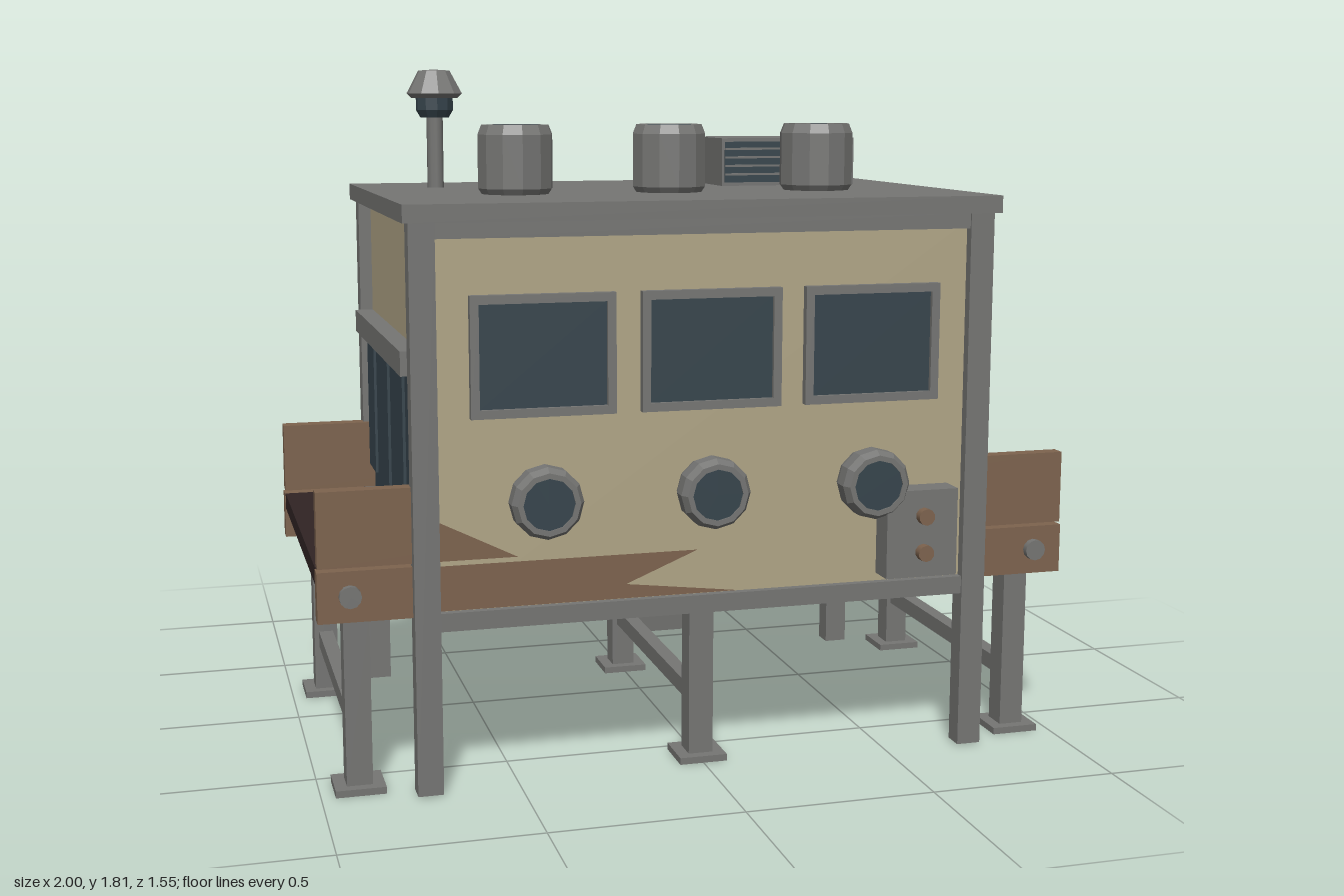
import * as THREE from 'three';

const mat = (name, color, side = THREE.FrontSide) => {
  const m = new THREE.MeshStandardMaterial({ color, side });
  m.name = name;
  return m;
};

export function createModel() {
  const steel = mat('steel grey', 0x757573);
  const tan = mat('tan panel', 0xb0a586);
  const wood = mat('brown rail', 0x7d634e);
  const rubber = mat('dark belt', 0x302424);
  const glass = mat('blue glass', 0x36444c);
  const model = new THREE.Group();

  const add = (name, geo, m, x = 0, y = 0, z = 0, parent = model) => {
    const mesh = new THREE.Mesh(geo, m);
    mesh.name = name;
    mesh.position.set(x, y, z);
    parent.add(mesh);
    return mesh;
  };
  // box given by its limits on each axis
  const box = (name, m, x0, x1, y0, y1, z0, z1, parent = model) =>
    add(name, new THREE.BoxGeometry(x1 - x0, y1 - y0, z1 - z0), m,
      (x0 + x1) / 2, (y0 + y1) / 2, (z0 + z1) / 2, parent);
  // faceted turned part
  const lathe = (name, m, pts, sides, x, y, z, parent = model) => {
    const g = new THREE.LatheGeometry(pts.map(p => new THREE.Vector2(...p)), sides).toNonIndexed();
    g.computeVertexNormals();
    return add(name, g, m, x, y, z, parent);
  };
  const disc = (name, m, r, h, sides, x, y, z, parent = model) =>
    add(name, new THREE.CylinderGeometry(r, r, h, sides), m, x, y, z, parent);
  // upright rectangular frame with a hole
  const frameGeo = (w, h, t, d) => {
    const s = new THREE.Shape();
    s.moveTo(-w / 2, -h / 2).lineTo(w / 2, -h / 2).lineTo(w / 2, h / 2).lineTo(-w / 2, h / 2).closePath();
    const a = w / 2 - t, b = h / 2 - t, hole = new THREE.Path();
    hole.moveTo(-a, -b).lineTo(-a, b).lineTo(a, b).lineTo(a, -b).closePath();
    s.holes.push(hole);
    return new THREE.ExtrudeGeometry(s, { depth: d, bevelEnabled: false });
  };

  // enclosure, roof and corner posts
  box('enclosure', tan, -0.73, 0.73, 0.43, 1.44, -0.315, 0.679);
  box('roof', steel, -0.78, 0.78, 1.44, 1.485, -0.37, 0.72);
  for (const s of [-1, 1]) {
    const [x0, x1] = s > 0 ? [0.70, 0.765] : [-0.765, -0.70];
    box('frontPost', steel, x0, x1, 0.005, 1.44, 0.65, 0.705);
    box('backPost', steel, x0, x1, 0.005, 1.44, -0.35, -0.29);
  }
  for (const [z0, z1] of [[0.655, 0.70], [-0.34, -0.295]]) {
    box('topBeam', steel, -0.70, 0.70, 1.40, 1.44, z0, z1);
    box('bottomBeam', steel, -0.70, 0.70, 0.425, 0.472, z0, z1);
  }

  // long conveyor rails: two boards each side
  for (const [z0, z1] of [[0.63, 0.676], [-0.326, -0.275]]) {
    box('lowerRail', wood, -1, 1, 0.46, 0.59, z0, z1);
    box('upperRail', wood, -0.998, 0.998, 0.598, 0.79, z0 + 0.004, z1 - 0.002);
  }
  // rail areas showing through the front panel
  for (const pts of [
    [[-0.7, 0.6], [-0.5, 0.6], [-0.7, 0.7]],
    [[-0.7, 0.473], [0.08, 0.473], [-0.22, 0.51], [-0.03, 0.588], [-0.7, 0.588]],
  ]) add('exposedRail', new THREE.ShapeGeometry(new THREE.Shape(pts.map(p => new THREE.Vector2(...p)))), wood, 0, 0, 0.681);

  // belt and its end parts
  for (const s of [-1, 1]) {
    const end = new THREE.Group();
    end.name = 'conveyorEnd';
    if (s < 0) {
      end.rotation.y = Math.PI;
      end.position.z = 0.35;
    }
    model.add(end);
    box('belt', rubber, 0.72, 0.998, 0.545, 0.59, -0.28, 0.63, end);
    box('beltCleat', rubber, 0.86, 0.895, 0.585, 0.602, -0.25, 0.60, end);
    box('endBeam', steel, 0.86, 0.97, 0.505, 0.545, -0.27, 0.62, end);
    box('lowerEndBeam', steel, 0.88, 0.95, 0.465, 0.505, -0.27, 0.62, end);
    for (const z of [0.682, -0.332])
      disc('axleBolt', steel, 0.028, 0.024, 12, 0.92, 0.527, z, end).rotation.x = Math.PI / 2;

    // strip curtain with header beam
    box('curtainHeader', steel, 0.72, 0.78, 1.06, 1.122, -0.285, 0.64, end);
    box('curtainBack', glass, 0.72, 0.737, 0.59, 1.06, -0.25, 0.61, end);
    for (let i = 0; i < 6; i++) {
      const z = -0.25 + i * 0.1433;
      box('curtainStrip', glass, 0.735, 0.745 + (i % 2) * 0.007, 0.67, 1.06, z + 0.001, z + 0.141, end);
    }
  }

  // legs with feet and cross braces
  for (const x of [-0.9, 0, 0.9]) {
    for (const z of [0.585, -0.225]) {
      box('leg', steel, x - 0.033, x + 0.033, 0.01, x ? 0.465 : 0.435, z - 0.034, z + 0.034);
      box('foot', steel, x - 0.064, x + 0.064, 0, 0.018, z - 0.062, z + 0.062);
    }
    box('crossBrace', steel, x - 0.02, x + 0.02, 0.145, 0.19, -0.20, 0.56);
  }

  // front windows
  for (const x of [-0.433, 0.002, 0.435]) {
    add('windowFrame', frameGeo(0.368, 0.305, 0.022, 0.025), steel, x, 1.108, 0.676);
    box('windowPane', glass, x - 0.165, x + 0.165, 0.975, 1.242, 0.682, 0.69);
  }

  // front portholes and matching roof vents
  for (const x of [-0.435, 0, 0.435]) {
    const port = new THREE.Group();
    port.name = 'porthole';
    port.position.set(x, 0.745, 0.675);
    port.rotation.x = Math.PI / 2;
    model.add(port);
    lathe('portholeRing', steel, [[0.085, 0], [0.092, 0.025], [0.092, 0.065], [0.08, 0.085], [0.066, 0.085], [0.066, 0.07]], 12, 0, 0, 0, port);
    disc('portholeGlass', glass, 0.067, 0.008, 12, 0, 0.077, 0, port);
  }
  for (const x of [-0.42, 0, 0.42]) {
    lathe('roofVent', steel, [[0.09, 0], [0.1, 0.015], [0.1, 0.155], [0.09, 0.18], [0.076, 0.18], [0.076, 0.16]], 12, x, 1.485, 0.3);
    disc('ventCap', glass, 0.077, 0.008, 12, x, 1.66, 0.3);
  }

  // control box
  box('controlBox', steel, 0.463, 0.66, 0.493, 0.725, 0.675, 0.752);
  for (const y of [0.56, 0.657])
    disc('button', wood, 0.022, 0.025, 10, 0.565, y, 0.763).rotation.x = Math.PI / 2;

  // roof unit with louvres
  box('roofUnit', steel, 0.23, 0.63, 1.485, 1.62, -0.21, 0.05);
  box('louvreBack', glass, 0.238, 0.622, 1.495, 1.61, 0.05, 0.054);
  for (let i = 0; i < 4; i++) {
    const y = 1.515 + i * 0.024;
    box('louvreSlat', steel, 0.238, 0.622, y, y + 0.006, 0.052, 0.059);
  }

  // beacon
  disc('beaconPole', steel, 0.023, 0.2, 10, -0.57, 1.585, -0.09);
  lathe('beaconLamp', glass, [[0, 0], [0.04, 0], [0.052, 0.02], [0.052, 0.06]], 10, -0.57, 1.68, -0.09);
  lathe('beaconCap', steel, [[0, 0], [0.065, 0], [0.078, 0.012], [0.044, 0.075], [0, 0.078]], 10, -0.57, 1.734, -0.09);

  // discharge duct and sloping chute
  const duct = disc('dischargeDuct', steel, 0.056, 0.18, 10, 0.245, 0.84, -0.40);
  duct.rotation.x = Math.PI / 2;
  const chute = new THREE.Group();
  chute.name = 'chute';
  chute.position.set(0.248, 0.58, -0.57);
  chute.rotation.x = 0.295;
  model.add(chute);
  box('chuteFloor', steel, -0.082, 0.082, -0.24, 0.24, 0.012, 0.03, chute);
  for (const s of [-1, 1])
    box('chuteSide', steel, s * 0.073 - 0.009, s * 0.073 + 0.009, -0.24, 0.24, -0.03, 0.03, chute);
  box('chuteHead', steel, -0.07, 0.07, 0.2, 0.24, -0.028, 0.03, chute);

  // open tapered bin
  const r = Math.SQRT1_2;
  const bin = lathe('bin', steel, [[0, 0], [0.122 / r, 0], [0.147 / r, 0.24], [0.13 / r, 0.24], [0.108 / r, 0.02], [0, 0.02]], 4, 0.253, 0.005, -0.65);
  bin.geometry.rotateY(Math.PI / 4);
  bin.scale.z = 0.86;

  return model;
}
